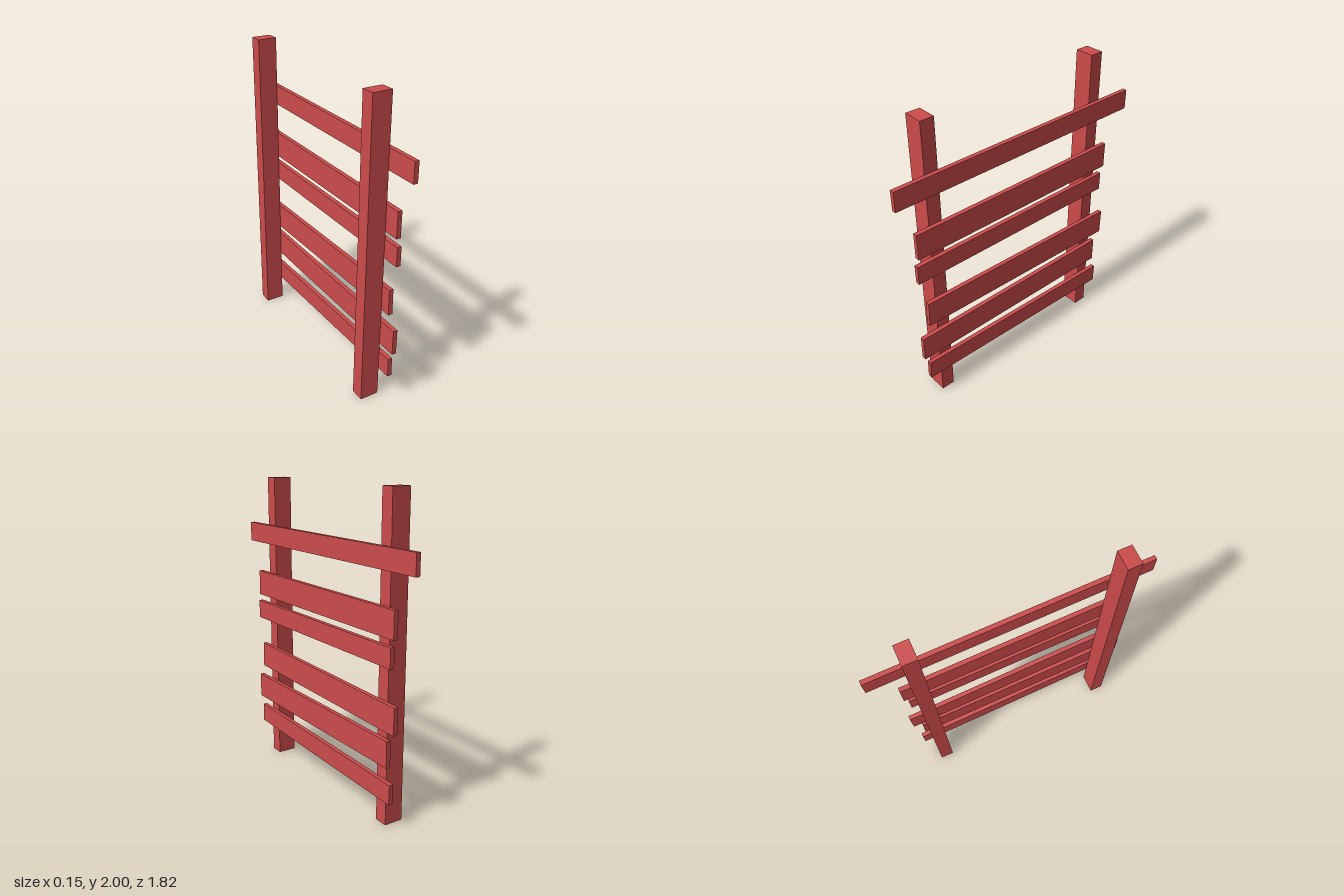
import * as THREE from 'three';

export function createModel() {
  const group = new THREE.Group();
  const material = new THREE.MeshStandardMaterial({ color: 0xcc4b4b, flatShading: true });

  const addBox = (name, size, position, tilt = 0) => {
    const mesh = new THREE.Mesh(new THREE.BoxGeometry(...size), material);
    mesh.name = name;
    mesh.position.set(...position);
    mesh.rotation.x = tilt;
    group.add(mesh);
  };

  // Two upright posts
  addBox('frontPost', [0.125, 2, 0.09], [-0.014, 1, 0.646]);
  addBox('backPost', [0.125, 2, 0.09], [-0.014, 1, -0.624]);

  // Uneven planks nailed across the posts: [centre y, centre z, height, length, tilt]
  const planks = [
    [1.615, 0, 0.13, 1.816, 0],
    [1.259, 0.028, 0.172, 1.536, 0],
    [1.063, 0.047, 0.126, 1.524, 0],
    [0.714, 0.001, 0.172, 1.52, -0.02],
    [0.476, 0.06, 0.17, 1.52, 0],
    [0.25, 0.028, 0.128, 1.52, -0.023],
  ];
  planks.forEach(([y, z, height, length, tilt], i) =>
    addBox(`plank${i + 1}`, [0.029, height, length], [0.061, y, z], tilt));

  return group;
}
